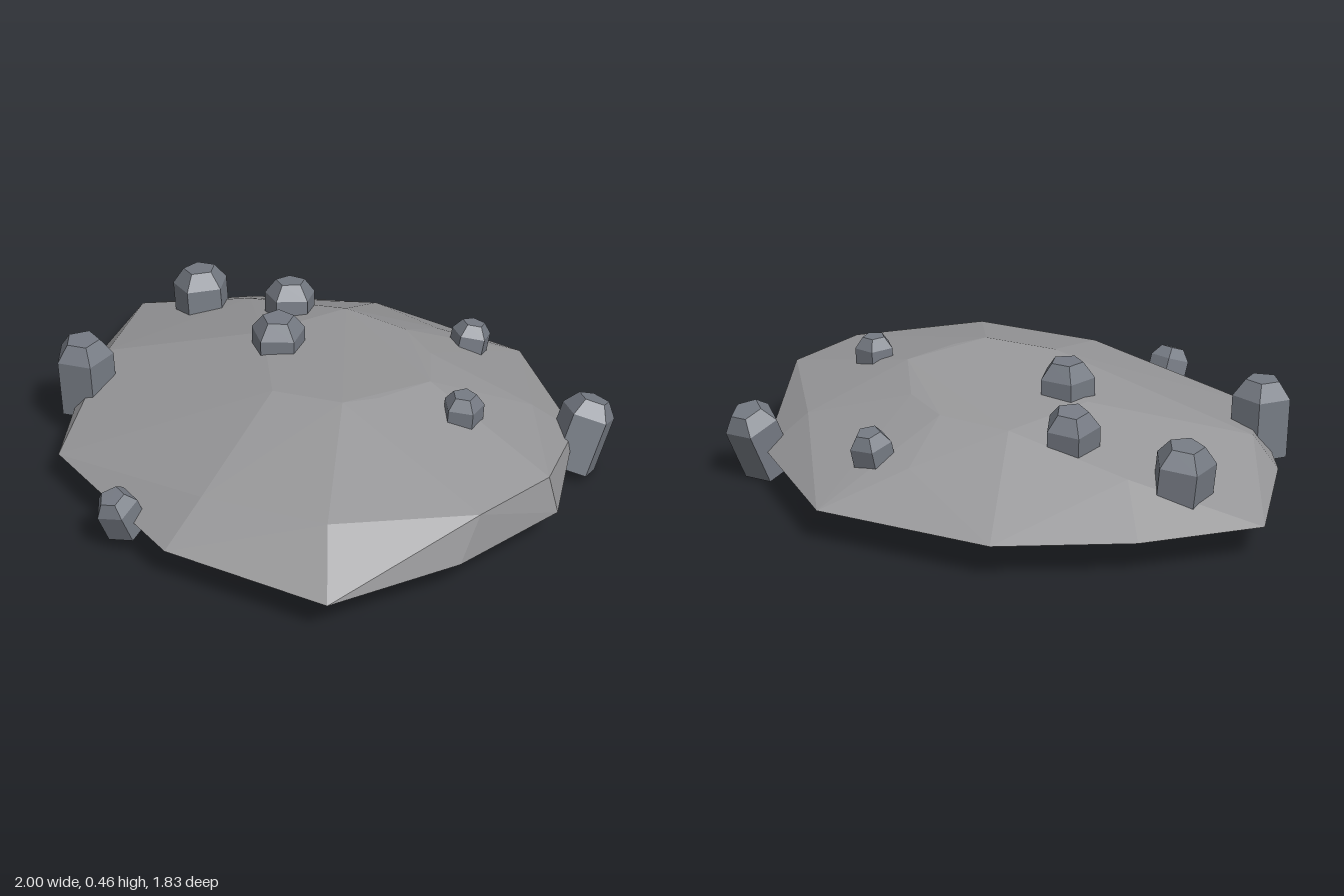
import * as THREE from 'three';
import { ConvexGeometry } from 'three/addons/geometries/ConvexGeometry.js';

const stone = new THREE.MeshStandardMaterial({ color: 0x98989a, flatShading: true });
stone.name = 'pale stone';
const crystalGrey = new THREE.MeshStandardMaterial({ color: 0x767b84, flatShading: true });
crystalGrey.name = 'blue grey crystal';

// Faceted slab: sharp rim, inset flat base, shoulders and a low crown
function makeSlab() {
  const rim = [
    [-1, 0.04], [-0.8, -0.34], [-0.49, -0.69], [0.1, -0.91], [0.62, -0.72], [0.96, -0.35],
    [1, 0.09], [0.93, 0.56], [0.4, 0.82], [-0.28, 0.82], [-0.73, 0.43],
  ];
  const shoulders = [
    [0.98, 0.275, 0], [0.94, 0.27, -0.32], [0.75, 0.28, 0.43], [0.36, 0.25, 0.65],
    [-0.63, 0.23, 0.41], [-0.62, 0.25, -0.2], [0.55, 0.25, -0.58], [-0.05, 0.245, -0.64],
  ];
  const crown = [
    [0.36, 0.405, 0.09], [0.4, 0.4, -0.03], [0.41, 0.395, -0.24], [0.22, 0.36, -0.39],
    [0.03, 0.35, -0.43], [-0.22, 0.345, -0.35], [-0.24, 0.355, 0], [0.14, 0.385, 0.22],
  ];
  const points = [...shoulders, ...crown].map((p) => new THREE.Vector3(...p));
  for (const [x, z] of rim) {
    points.push(new THREE.Vector3(x, 0.13, z));
    points.push(new THREE.Vector3(x * 0.81, 0.09, z * 0.82));
  }
  const slab = new THREE.Mesh(new ConvexGeometry(points), stone);
  slab.name = 'rockSlab';
  return slab;
}

// Five-sided crystal with a bevelled tip, running from base to tip
function makeCrystal(base, tip, radius, turn) {
  const start = new THREE.Vector3(...base);
  const axis = new THREE.Vector3(...tip).sub(start);
  const h = axis.length();
  const profile = [[0, 0], [radius, 0], [radius, h - radius * 0.55], [radius * 0.58, h], [0, h]]
    .map(([r, y]) => new THREE.Vector2(r, y));
  const geometry = new THREE.LatheGeometry(profile, 5);
  geometry.rotateY(turn);
  const crystal = new THREE.Mesh(geometry, crystalGrey);
  crystal.position.copy(start);
  crystal.quaternion.setFromUnitVectors(new THREE.Vector3(0, 1, 0), axis.normalize());
  return crystal;
}

export function createModel() {
  const group = new THREE.Group();
  group.name = 'crystalRock';
  group.add(makeSlab());

  // base, tip, radius, turn about the axis
  const crystals = [
    [[-0.72, 0.14, -0.06], [-0.745, 0.365, -0.06], 0.105, 0.5],
    [[-0.54, 0.1, 0.55], [-0.54, 0.37, 0.56], 0.105, 0],
    [[-0.36, 0.2, -0.2], [-0.385, 0.425, -0.22], 0.095, 0.4],
    [[-0.13, 0.25, 0.01], [-0.13, 0.47, 0.01], 0.098, 0.3],
    [[0.11, 0.13, -0.63], [0.11, 0.335, -0.675], 0.073, 0.3],
    [[0.585, 0.25, -0.235], [0.59, 0.435, -0.24], 0.07, 0.1],
    [[0.67, 0.04, -0.66], [0.67, 0.275, -0.755], 0.098, 0.2],
    [[0.15, 0.08, 0.81], [0.155, 0.22, 0.865], 0.075, 0],
  ];
  crystals.forEach((spec, i) => {
    const crystal = makeCrystal(...spec);
    crystal.name = `crystal${i + 1}`;
    group.add(crystal);
  });
  return group;
}
